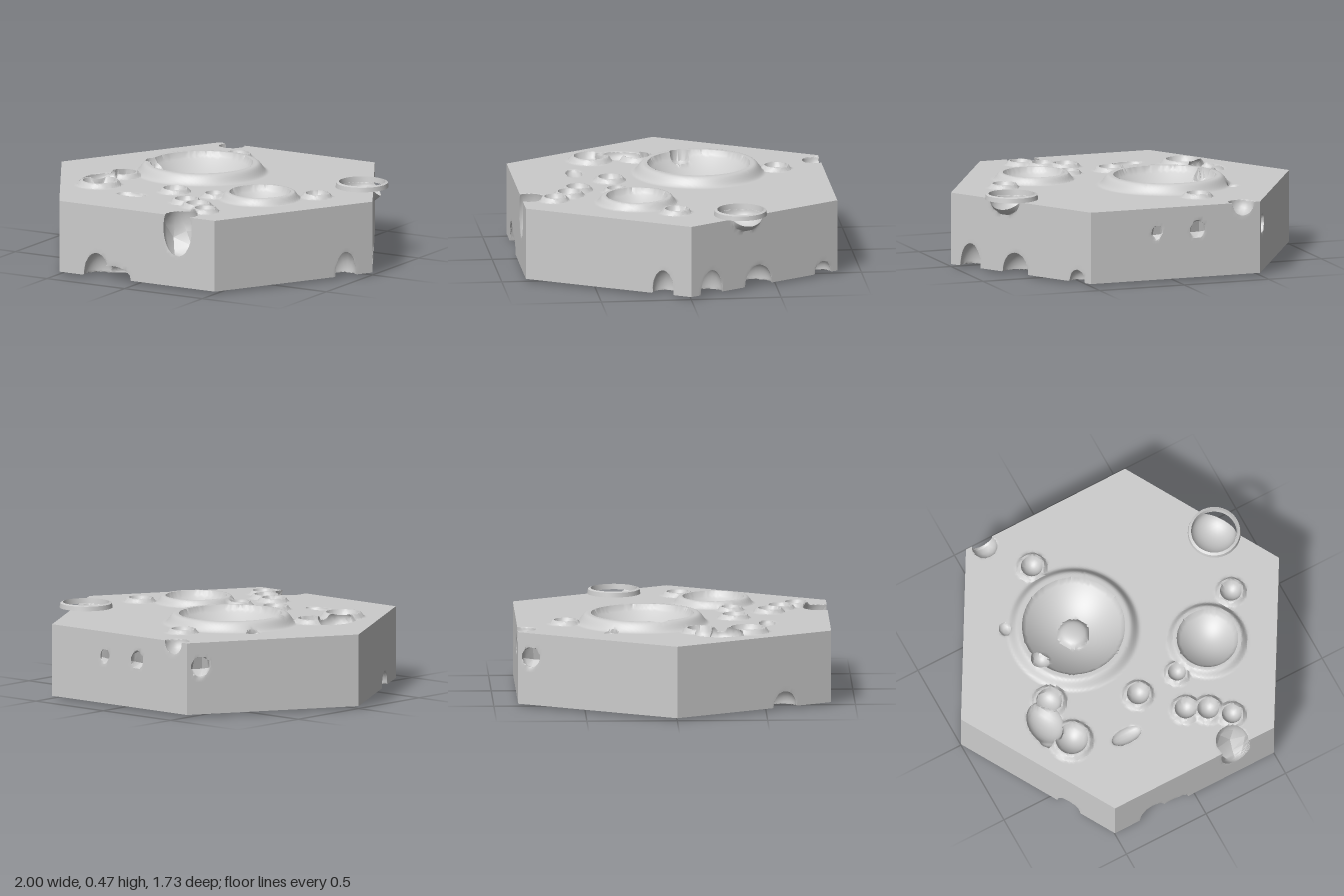
import * as THREE from 'three';
import { toCreasedNormals } from 'three/addons/utils/BufferGeometryUtils.js';

const N = 80;        // subdivisions along each hexagon edge
const ROWS = 20;     // subdivisions up each wall
const TOP = 0.415;
const BASE = 0.014;  // height of the underside's outline

const corners = Array.from({ length: 6 }, (_, k) =>
  [Math.cos(k * Math.PI / 3), Math.sin(k * Math.PI / 3)]);

// Point on hexagon edge k, from t = 0 to 1
function edgePoint(k, t) {
  const a = corners[k], b = corners[(k + 1) % 6];
  return [a[0] * (1 - t) + b[0] * t, a[1] * (1 - t) + b[1] * t];
}

// Craters: x, z, radius; rim and depth grow with the radius
const craters = [
  [-0.2, -0.17, 0.285], [0.42, 0.24, 0.17], [-0.23, -0.6, 0.06],
  [-0.45, -0.09, 0.055], [-0.07, 0.34, 0.062], [0.18, 0.33, 0.05],
  [0.12, 0.54, 0.06], [0.23, 0.6, 0.06], [0.33, 0.69, 0.055],
  [-0.52, 0.14, 0.07], [-0.52, 0.4, 0.09], [0.67, 0.05, 0.06],
].map(([x, z, r]) => ({
  x, z, r, width: 0.015 + 0.24 * r, rim: 0.015 + 0.14 * r, depth: 0.015 + 0.42 * r,
}));

// Ellipsoid cavity, hollowed away from an eye point outside the slab
function cavity(x, y, z, rx, ry, rz, outward) {
  return {
    centre: new THREE.Vector3(x, y, z),
    radii: new THREE.Vector3(rx, ry, rz),
    eye: outward.normalize().multiplyScalar(0.8),
  };
}

// Pit in a horizontal face: x, z and the two radii
const pit = (y, side) => ([x, z, rx, rz]) =>
  cavity(x, y, z, rx, 0.75 * Math.min(rx, rz), rz, new THREE.Vector3(0, side, 0));

// Hole in a wall or rim notch: edge, position along it, height, half width, half height
function wallHole([k, t, y, w, h]) {
  const [x, z] = edgePoint(k, t);
  const [nx, nz] = edgePoint(k, 0.5);
  const tilt = y < 0.1 ? -0.87 : y > 0.3 ? 0.87 : 0;
  return cavity(x - nx * w / 2, y, z - nz * w / 2, w, h, w, new THREE.Vector3(nx, tilt, nz));
}

const topPits = [
  [0.75, -0.3, 0.125, 0.125], [-0.6, 0.24, 0.095, 0.13], [-0.53, 0.14, 0.07, 0.075],
  [-0.63, 0.33, 0.05, 0.05], [-0.24, 0.52, 0.09, 0.045], [-0.53, -0.35, 0.035, 0.04],
];
const undersidePits = [
  [0.64, -0.11, 0.06, 0.05], [0.37, -0.43, 0.14, 0.11], [0.36, -0.64, 0.06, 0.06],
  [0.31, 0.09, 0.11, 0.08], [-0.02, 0.57, 0.06, 0.05], [-0.5, -0.2, 0.07, 0.14],
  [-0.57, -0.45, 0.06, 0.2],
];
const wallHoles = [
  [0, 0.17, 0.04, 0.07, 0.12], [5, 0.86, 0.02, 0.08, 0.14], [5, 0.54, 0.02, 0.1, 0.12],
  [5, 0.1, 0.02, 0.06, 0.07], [1, 0.76, 0.02, 0.09, 0.14], [1, 0.65, 0.02, 0.12, 0.07],
  [2, 0.3, 0.02, 0.08, 0.09], [1, 0.24, 0.34, 0.1, 0.17], [4, 0.1, 0.415, 0.07, 0.08],
  [4, 0.61, 0.28, 0.035, 0.04], [4, 0.37, 0.28, 0.05, 0.05], [3, 0.92, 0.28, 0.06, 0.06],
];
const cavities = [
  ...topPits.map(pit(TOP, 1)),
  ...undersidePits.map(pit(BASE, -1)),
  ...wallHoles.map(wallHole),
];

// Push a surface point onto the far wall of every cavity that contains it
function carve(p) {
  for (const { centre, radii, eye } of cavities) {
    const q = p.clone().sub(centre).divide(radii);
    if (q.lengthSq() >= 1) continue;
    const dir = q.sub(eye).normalize();
    const b = eye.dot(dir);
    const t = -b + Math.sqrt(b * b - eye.lengthSq() + 1);
    p.copy(eye).addScaledVector(dir, t).multiply(radii).add(centre);
  }
  return p;
}

// Raise rims and sink bowls; points close to a lip snap onto its circle
function topPoint(x, z) {
  let y = TOP, bowl = null;
  for (const c of craters) {
    let d = Math.hypot(x - c.x, z - c.z);
    if (Math.abs(d - c.r) < 0.006) {
      x = c.x + (x - c.x) * c.r / d;
      z = c.z + (z - c.z) * c.r / d;
      d = c.r;
    }
    if (d < c.r - 1e-6) {
      bowl = TOP + c.rim - 0.015 - c.depth * (1 - (d / c.r) ** 2);
    } else if (d < c.r + c.width) {
      const k = (d - c.r) / c.width;
      y = Math.max(y, TOP + c.rim * (1 - THREE.MathUtils.smoothstep(k, 0.3, 1)));
    }
  }
  // central peak of the largest crater
  const peak = Math.hypot(x - craters[0].x, z - craters[0].z) / 0.085;
  if (peak < 1) bowl += 0.055 * Math.sqrt(1 - peak * peak);
  return carve(new THREE.Vector3(x, bowl ?? y, z));
}

// The underside bulges slightly towards its middle
function bottomPoint(x, z, edge) {
  return carve(new THREE.Vector3(x, BASE * edge, z));
}

// Six triangular sectors fill a hexagonal face
function hexFace(at, up) {
  const out = [];
  const tri = (a, b, c) => (up ? out.push(a, c, b) : out.push(a, b, c));
  for (let k = 0; k < 6; k++) {
    const rows = [];
    for (let i = 0; i <= N; i++) {
      rows.push([]);
      for (let j = 0; j <= i; j++) {
        const [x, z] = edgePoint(k, i ? j / i : 0);
        rows[i].push(at(x * i / N, z * i / N, i / N));
      }
    }
    for (let i = 0; i < N; i++) {
      for (let j = 0; j <= i; j++) {
        tri(rows[i][j], rows[i + 1][j], rows[i + 1][j + 1]);
        if (j < i) tri(rows[i][j], rows[i + 1][j + 1], rows[i][j + 1]);
      }
    }
  }
  return out;
}

// Six gridded walls join the two faces
function wallPoints() {
  const out = [];
  for (let k = 0; k < 6; k++) {
    const at = (i, j) => {
      const [x, z] = edgePoint(k, i / N);
      return carve(new THREE.Vector3(x, THREE.MathUtils.lerp(BASE, TOP, j / ROWS), z));
    };
    for (let i = 0; i < N; i++) {
      for (let j = 0; j < ROWS; j++) {
        const p = at(i, j), q = at(i + 1, j), r = at(i + 1, j + 1), s = at(i, j + 1);
        out.push(p, s, q, q, s, r);
      }
    }
  }
  return out;
}

function surface(name, points) {
  const geometry = toCreasedNormals(new THREE.BufferGeometry().setFromPoints(points), 0.65);
  const mesh = new THREE.Mesh(geometry, new THREE.MeshStandardMaterial({ color: 0xcccccc }));
  mesh.name = name;
  return mesh;
}

export function createModel() {
  const group = new THREE.Group();
  group.name = 'crateredHexTile';
  group.add(
    surface('crateredTop', hexFace(topPoint, true)),
    surface('underside', hexFace(bottomPoint, false)),
    surface('walls', wallPoints()),
  );

  // Thin crater rim overhanging the edge
  const profile = [[0.124, 0.415], [0.147, 0.415], [0.143, 0.44], [0.128, 0.445], [0.124, 0.415]]
    .map(([r, y]) => new THREE.Vector2(r, y));
  const rim = new THREE.Mesh(
    toCreasedNormals(new THREE.LatheGeometry(profile, 64), 0.6),
    new THREE.MeshStandardMaterial({ color: 0xcccccc, side: THREE.DoubleSide }));
  rim.name = 'overhangingRim';
  rim.position.set(0.755, 0, -0.3);
  group.add(rim);
  return group;
}
